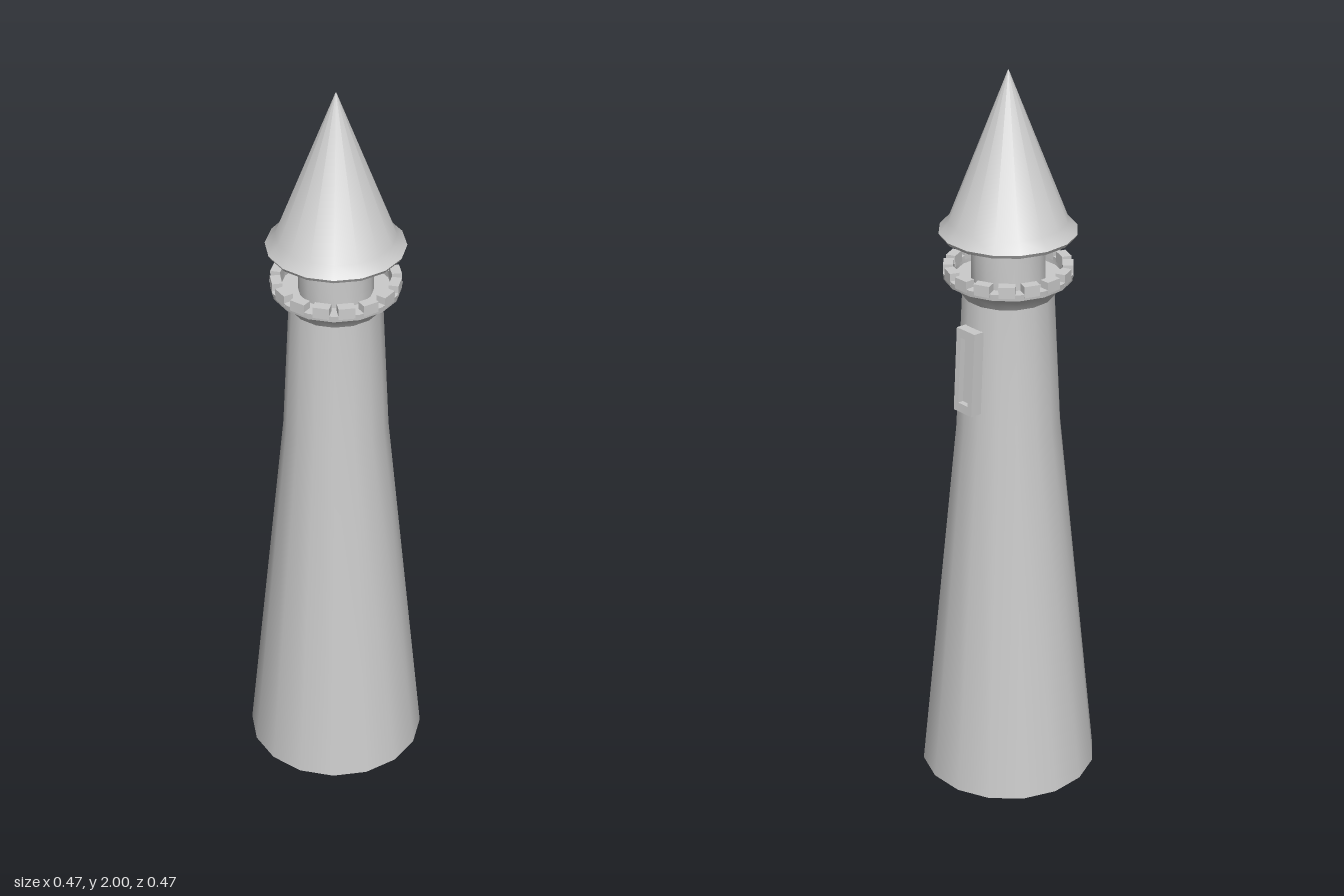
import * as THREE from 'three';
import { toCreasedNormals } from 'three/addons/utils/BufferGeometryUtils.js';

const SIDES = 16;
const STEP = (Math.PI * 2) / SIDES;
const material = new THREE.MeshStandardMaterial({ color: 0xcccccc, side: THREE.DoubleSide });

function addMesh(parent, name, geometry) {
  const mesh = new THREE.Mesh(geometry, material);
  mesh.name = name;
  parent.add(mesh);
  return mesh;
}

// Sixteen-sided turned part with flat sides facing the axes: profile of [radius, y]
function turned(parent, name, profile) {
  const points = profile.map(([r, y]) => new THREE.Vector2(r, y));
  const lathe = new THREE.LatheGeometry(points, SIDES, STEP / 2);
  return addMesh(parent, name, toCreasedNormals(lathe, 0.8));
}

function rectangle(Type, w, h) {
  const path = new Type();
  path.moveTo(-w / 2, -h / 2);
  path.lineTo(w / 2, -h / 2);
  path.lineTo(w / 2, h / 2);
  path.lineTo(-w / 2, h / 2);
  path.closePath();
  return path;
}

export function createModel() {
  const tower = new THREE.Group();
  tower.name = 'tower';

  // Tapered hollow shaft, open at the foot
  turned(tower, 'shaft', [[0.241, 0], [0.138, 1.04], [0.12, 1.41]]);

  // Flared gallery with a low parapet and a floor
  turned(tower, 'gallery', [
    [0.12, 1.41], [0.138, 1.437], [0.166, 1.455], [0.168, 1.472],
    [0.142, 1.472], [0.142, 1.452], [0.09, 1.452],
  ]);

  // Merlons, one per side of the parapet
  const merlons = new THREE.Group();
  merlons.name = 'merlons';
  tower.add(merlons);
  const merlonGeometry = new THREE.BoxGeometry(0.042, 0.03, 0.026);
  merlonGeometry.translate(0, 1.477, 0.152);
  for (let i = 0; i < SIDES; i++) {
    addMesh(merlons, 'merlon', merlonGeometry).rotation.y = i * STEP;
  }

  // Neck carrying the roof
  turned(tower, 'neck', [[0.096, 1.45], [0.096, 1.575]]);

  // Pointed roof with flared eaves
  turned(tower, 'roof', [
    [0.094, 1.56], [0.172, 1.572], [0.178, 1.582], [0.152, 1.61], [0.001, 2],
  ]);

  // Tall slit window on the back, leaning with the wall
  const window = new THREE.Group();
  window.name = 'window';
  window.position.set(0, 1.23, -0.122);
  window.rotation.set(-0.06, Math.PI, 0, 'YXZ');
  tower.add(window);
  const frame = rectangle(THREE.Shape, 0.066, 0.228);
  frame.holes.push(rectangle(THREE.Path, 0.034, 0.18));
  addMesh(window, 'windowFrame', new THREE.ExtrudeGeometry(frame, { depth: 0.034, bevelEnabled: false }));
  const pane = new THREE.BoxGeometry(0.036, 0.184, 0.012);
  addMesh(window, 'windowPane', pane).position.z = 0.012;

  return tower;
}
